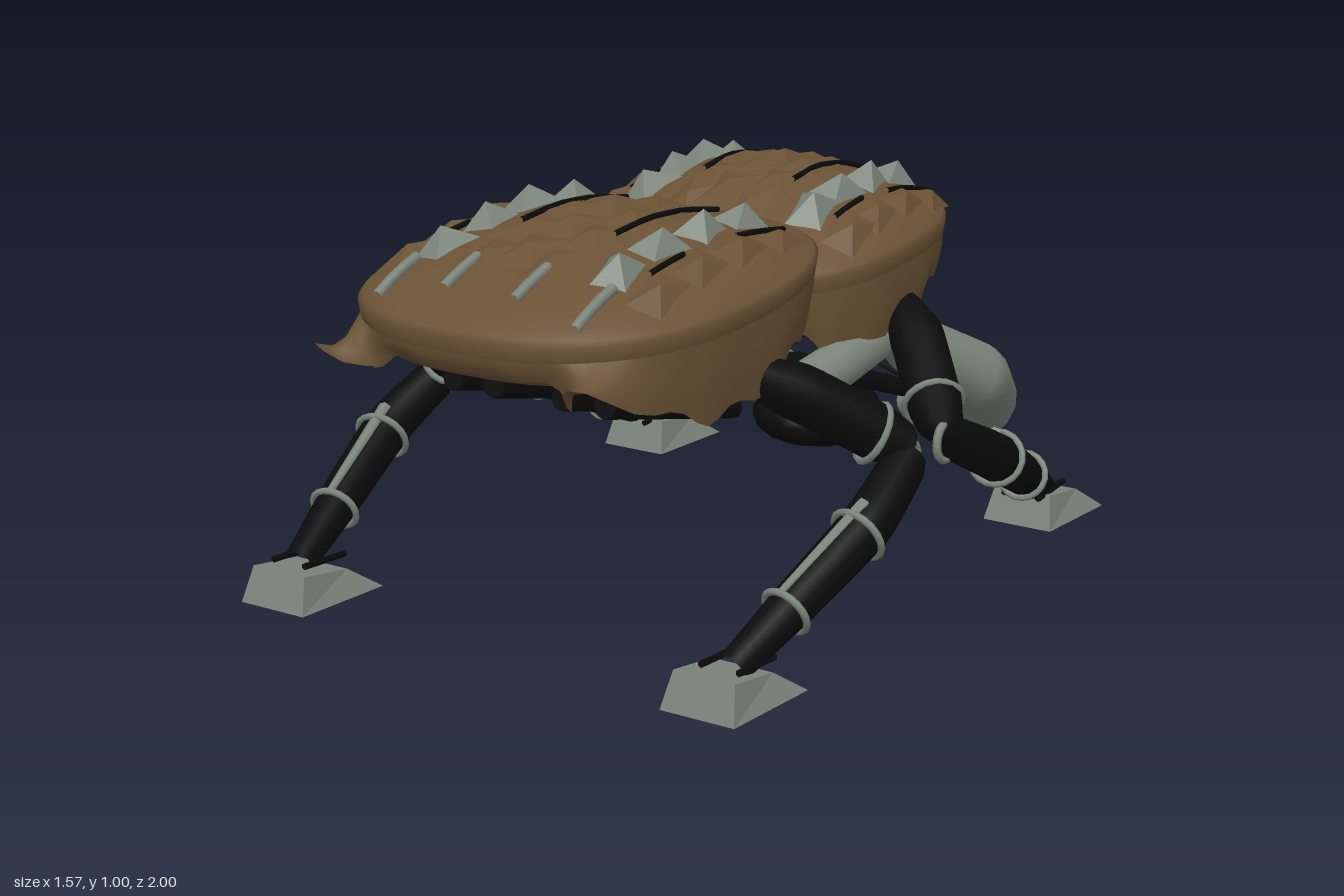
import * as THREE from 'three';

const brown = new THREE.MeshStandardMaterial({ color: 0x6a5235, side: THREE.DoubleSide });
brown.name = 'brown shell';
const gray = new THREE.MeshStandardMaterial({ color: 0x7c867c });
gray.name = 'gray armour';
const black = new THREE.MeshStandardMaterial({ color: 0x0b0b0b });
black.name = 'black frame';

const V = (x, y, z) => new THREE.Vector3(x, y, z);

// Piecewise-linear lookup in [[t, value], ...] with rising t
function lerpTable(table, t) {
  if (t <= table[0][0]) return table[0][1];
  for (let i = 1; i < table.length; i++) {
    const [a, va] = table[i - 1], [b, vb] = table[i];
    if (t <= b) return va + (vb - va) * (t - a) / (b - a);
  }
  return table[table.length - 1][1];
}

function add(group, name, geometry, material) {
  const mesh = new THREE.Mesh(geometry, material);
  mesh.name = name;
  group.add(mesh);
  return mesh;
}

function faceted(geometry) {
  const g = geometry.toNonIndexed();
  g.computeVertexNormals();
  return g;
}

// Round limb along a curve with a varying radius
function limb(points, radii, around = 12, steps = 28, tension = 0.25) {
  const curve = new THREE.CatmullRomCurve3(points, false, 'catmullrom', tension);
  const g = new THREE.TubeGeometry(curve, steps, 0.0001, around);
  const p = g.attributes.position, n = g.attributes.normal;
  for (let i = 0; i < p.count; i++) {
    const r = lerpTable(radii, Math.floor(i / (around + 1)) / steps);
    p.setXYZ(i, p.getX(i) + n.getX(i) * r, p.getY(i) + n.getY(i) * r, p.getZ(i) + n.getZ(i) * r);
  }
  return g;
}

// Straight rod between two points
function rod(a, b, r0, r1 = r0, sides = 6) {
  const d = b.clone().sub(a);
  const g = new THREE.CylinderGeometry(r1, r0, d.length(), sides);
  g.applyQuaternion(new THREE.Quaternion().setFromUnitVectors(V(0, 1, 0), d.normalize()));
  return g.translate((a.x + b.x) / 2, (a.y + b.y) / 2, (a.z + b.z) / 2);
}

function ring(center, dir, radius, tube) {
  const g = new THREE.TorusGeometry(radius, tube, 6, 18);
  g.applyQuaternion(new THREE.Quaternion().setFromUnitVectors(V(0, 0, 1), dir.clone().normalize()));
  return g.translate(center.x, center.y, center.z);
}

function ellipsoid(x, y, z, rx, ry, rz, sides) {
  return new THREE.SphereGeometry(1, sides, 8).rotateX(Math.PI / 2).scale(rx, ry, rz).translate(x, y, z);
}

// Closed loft: rows of points around the y axis
function loft(rows, cols, at) {
  const pos = [], idx = [];
  for (let i = 0; i < rows; i++)
    for (let j = 0; j < cols; j++) pos.push(...at(i, (j / cols) * Math.PI * 2));
  for (let i = 0; i < rows - 1; i++)
    for (let j = 0; j < cols; j++) {
      const k = (j + 1) % cols;
      const a = i * cols + j, b = a + cols, c = (i + 1) * cols + k, d = i * cols + k;
      idx.push(a, b, c, a, c, d);
    }
  const g = new THREE.BufferGeometry();
  g.setAttribute('position', new THREE.Float32BufferAttribute(pos, 3));
  g.setIndex(idx);
  g.computeVertexNormals();
  return g;
}

const POWER = 2.6;
const spow = (v) => Math.sign(v) * Math.abs(v) ** (2 / POWER);

function heightOn(s, x, z) {
  const k = Math.min(1, (Math.abs(x / s.hw) ** POWER + Math.abs((z - s.cz) / s.hl) ** POWER) ** (1 / POWER));
  const rim = lerpTable(s.rim, z);
  return rim + (lerpTable(s.top, z) - rim) * Math.max(0, 1 - k ** 2.2) ** 0.75;
}

function buildShell(name, s) {
  const group = new THREE.Group();
  group.name = name;
  const plan = (a, k) => [s.hw * k * spow(Math.sin(a)), s.cz + s.hl * k * spow(Math.cos(a))];

  // Domed back, rolled rim and shallow underside: [plan scale, drop below rim]
  const levels = [0, 0.2, 0.4, 0.58, 0.73, 0.85, 0.93, 0.98, 1];
  const under = [[0.99, 0.035], [0.96, 0.075], [0.9, 0.105], [0.75, 0.125], [0.4, 0.13], [0, 0.13]];
  add(group, 'dome', loft(levels.length + under.length, 72, (i, a) => {
    if (i < levels.length) {
      const [x, z] = plan(a, levels[i]);
      return [x, heightOn(s, x, z), z];
    }
    const [k, drop] = under[i - levels.length];
    const [x, z] = plan(a, k);
    return [x, lerpTable(s.rim, z) - drop, z];
  }), brown);

  // Ragged hanging skirt, with pointed corners where the shell has them
  add(group, 'skirt', loft(4, 96, (i, a) => {
    const t = i / 3;
    let [x, z] = plan(a, 0.988 - 0.04 * t * t);
    const start = lerpTable(s.rim, z) - 0.035;
    const jag = 0.02 * Math.sin(a * 18) * Math.abs(Math.sin(a));
    let end = Math.min(start - 0.01, lerpTable(s.hem, z) + jag);
    if (s.tips && z > 0.65) {
      const w = Math.exp(-(((Math.abs(x) - 0.355) / 0.05) ** 2)) * t;
      z += 0.2 * w;
      end += (0.74 - end) * w;
    }
    return [x, start + (end - start) * t, z];
  }), brown);

  // Rows of pyramids: gray on the flanks, low brown ones between and outside
  const pyramid = (label, x, z, w, h, l, yaw, mat) => {
    const g = faceted(new THREE.ConeGeometry(Math.SQRT1_2, 1, 4, 1).rotateY(Math.PI / 4).translate(0, 0.35, 0));
    const y = heightOn(s, x, z), e = 0.04;
    const up = V(heightOn(s, x - e, z) - heightOn(s, x + e, z), 2 * e, heightOn(s, x, z - e) - heightOn(s, x, z + e));
    const m = add(group, label, g, mat);
    m.scale.set(w, h, l);
    m.quaternion.setFromUnitVectors(V(0, 1, 0), up.normalize());
    m.rotateY(yaw);
    m.position.set(x, y, z);
  };
  s.spikes.forEach((z, i) => {
    for (const q of [-1, 1]) {
      pyramid('backSpike', q * 0.245, z, 0.095, 0.062, 0.15, q * (i % 2 ? 0.25 : -0.12), gray);
      pyramid('shellScale', q * 0.09, z + 0.05, 0.11, 0.022, 0.18, q * 0.2, brown);
      pyramid('outerScale', q * 0.355, z, 0.09, 0.028, 0.17, q * 0.2, brown);
    }
    pyramid('centreScale', 0, z, 0.13, 0.03, 0.18, 0, brown);
  });

  // Thin rods lying along the back
  const strip = (label, x, z0, z1, r, mat) => {
    const pts = [0, 1, 2, 3].map((i) => {
      const z = z0 + (z1 - z0) * i / 3;
      return V(x, heightOn(s, x, z) + 0.01, z);
    });
    add(group, label, limb(pts, [[0, r], [1, r]], 6, 8), mat);
  };
  const [z0, z1] = s.span;
  for (const q of [-1, 1]) {
    strip('innerSeam', q * 0.135, z0, z0 + (z1 - z0) * 0.72, 0.007, black);
    strip('outerSeam', q * 0.325, z0, z0 + 0.22, 0.007, black);
    strip('outerSeam', q * 0.31, z1 - 0.2, z1 - 0.06, 0.007, black);
    strip('innerPin', q * 0.1, z1 + 0.04, z1 + 0.17, s.tips ? 0.013 : 0.007, s.tips ? gray : black);
    if (s.tips) strip('outerPin', q * 0.28, z1 + 0.04, z1 + 0.19, 0.013, gray);
  }
  return group;
}

function buildLeg(name, sx, sz) {
  const group = new THREE.Group();
  group.name = name;
  const P = (x, y, z) => V(sx * x, y, sz * z);
  const hip = P(0.4, 0.655, 0.4), knee = P(0.7, 0.42, 0.08);
  const shin = P(0.715, 0.3, 0.33), ankle = P(0.635, 0.08, 0.78);

  add(group, 'thigh', limb([hip, P(0.52, 0.58, 0.28), knee],
    [[0, 0], [0.04, 0.04], [0.3, 0.07], [0.8, 0.07], [0.96, 0.055], [1, 0]]), black);
  add(group, 'shin', limb([knee, shin, ankle],
    [[0, 0], [0.04, 0.055], [0.35, 0.063], [0.7, 0.055], [1, 0.04]]), black);

  // Bands, splint and knee hoop
  const down = ankle.clone().sub(shin);
  for (const [t, r] of [[0.05, 0.068], [0.6, 0.06]])
    add(group, 'legBand', ring(shin.clone().addScaledVector(down, t), down, r, 0.009), gray);
  const thighDir = knee.clone().sub(hip);
  add(group, 'thighBand', ring(hip.clone().addScaledVector(thighDir, 0.78), thighDir, 0.074, 0.009), gray);
  const lift = V(0, 0.06, 0);
  add(group, 'splint', rod(shin.clone().add(lift), shin.clone().addScaledVector(down, 0.65).add(lift), 0.018, 0.01), gray);
  add(group, 'kneeHoop', ring(P(0.7, 0.4, 0.1), V(1, 0, 0), 0.05, 0.011), gray);

  // Wedge foot: tapering towards the front, top highest at the front
  const g = new THREE.BoxGeometry(0.24, 0.09, 0.28).translate(0, 0.045, 0);
  const p = g.attributes.position;
  for (let i = 0; i < p.count; i++) {
    const front = p.getZ(i) > 0, high = p.getY(i) > 0.01;
    const x = p.getX(i) * (high ? 0.68 : front ? 0.82 : 1);
    p.setXYZ(i, x, high ? (front ? 0.09 : 0.065) : 0, high ? (front ? 0.11 : -0.05) : p.getZ(i));
  }
  g.translate(sx * 0.62, 0, sz > 0 ? 0.76 : -0.81);
  add(group, 'foot', faceted(g), gray);
  for (const x of [0.58, 0.68])
    add(group, 'footStrap', rod(P(x, 0.085, 0.67), P(x, 0.095, 0.82), 0.009), black);
  return group;
}

export function createModel() {
  const model = new THREE.Group();
  model.name = 'armouredBeetle';

  model.add(buildShell('frontShell', {
    cz: 0.41, hl: 0.545, hw: 0.49, tips: true,
    rim: [[-0.13, 0.885], [0.4, 0.83], [0.95, 0.795]],
    top: [[-0.13, 0.95], [0.3, 0.975], [0.95, 0.93]],
    hem: [[-0.1, 0.83], [0.12, 0.7], [0.42, 0.585], [0.6, 0.59], [0.84, 0.61], [0.9, 0.71]],
    spikes: [0.13, 0.31, 0.48, 0.65], span: [0.06, 0.68],
  }));
  model.add(buildShell('rearShell', {
    cz: -0.365, hl: 0.445, hw: 0.455, tips: false,
    rim: [[-0.81, 0.85], [-0.4, 0.81], [0.08, 0.76]],
    top: [[-0.81, 0.95], [-0.45, 0.97], [-0.2, 0.94], [0.08, 0.84]],
    hem: [[-0.78, 0.8], [-0.55, 0.68], [-0.4, 0.635], [-0.28, 0.575], [-0.1, 0.565], [0.05, 0.68]],
    spikes: [-0.62, -0.48, -0.34, -0.21], span: [-0.67, -0.15],
  }));

  for (const [sz, end] of [[1, 'front'], [-1, 'rear']])
    for (const [sx, side] of [[1, 'Left'], [-1, 'Right']])
      model.add(buildLeg(`${end}${side}Leg`, sx, sz));

  // Central frame and the pod slung under the tail
  add(model, 'body', ellipsoid(0, 0.53, -0.22, 0.085, 0.11, 0.46, 16), black);
  add(model, 'tailPod', ellipsoid(0, 0.22, -0.67, 0.18, 0.092, 0.19, 12), black);

  for (const q of [-1, 1]) {
    // Angular gripping arm at the tail and the bar that carries it
    add(model, 'tailArm', limb(
      [V(q * 0.37, 0.57, -0.37), V(q * 0.49, 0.4, -0.65), V(q * 0.385, 0.255, -0.875), V(q * 0.115, 0.2, -0.95)],
      [[0, 0], [0.03, 0.055], [0.1, 0.078], [0.42, 0.095], [0.62, 0.108], [0.7, 0.1], [0.98, 0.046], [1, 0]],
      16, 44, 0.1), gray);
    add(model, 'armBar', limb([V(q * 0.375, 0.51, 0.13), V(q * 0.385, 0.54, -0.1), V(q * 0.365, 0.57, -0.38)],
      [[0, 0], [0.04, 0.04], [0.12, 0.06], [0.95, 0.062], [1, 0]]), gray);

    // Fan of ribs at the rear
    for (let i = 0; i < 10; i++)
      add(model, 'fanRib', rod(V(q * 0.03, 0.47 + i * 0.018, -0.62), V(q * 0.285, 0.365 + i * 0.031, -0.67), 0.01, 0.018), black);

    // Slim hip struts and the long rods below the front shell
    for (const z of [-0.37, 0.37])
      add(model, 'hipStrut', rod(V(q * 0.05, 0.56, z * 0.2), V(q * 0.4, 0.66, z), 0.035, 0.03, 8), black);
    for (const x of [0.1, 0.22])
      add(model, 'bellyRod', rod(V(q * x, 0.46, 0.12), V(q * x, 0.6, 0.67), 0.028, 0.032, 8), black);
    add(model, 'sideBrace', rod(V(q * 0.2, 0.5, -0.2), V(q * 0.31, 0.35, -0.6), 0.03, 0.025), black);
    add(model, 'braceSleeve', rod(V(q * 0.22, 0.56, 0.02), V(q * 0.29, 0.47, -0.06), 0.035, 0.035, 8), gray);
  }
  return model;
}
